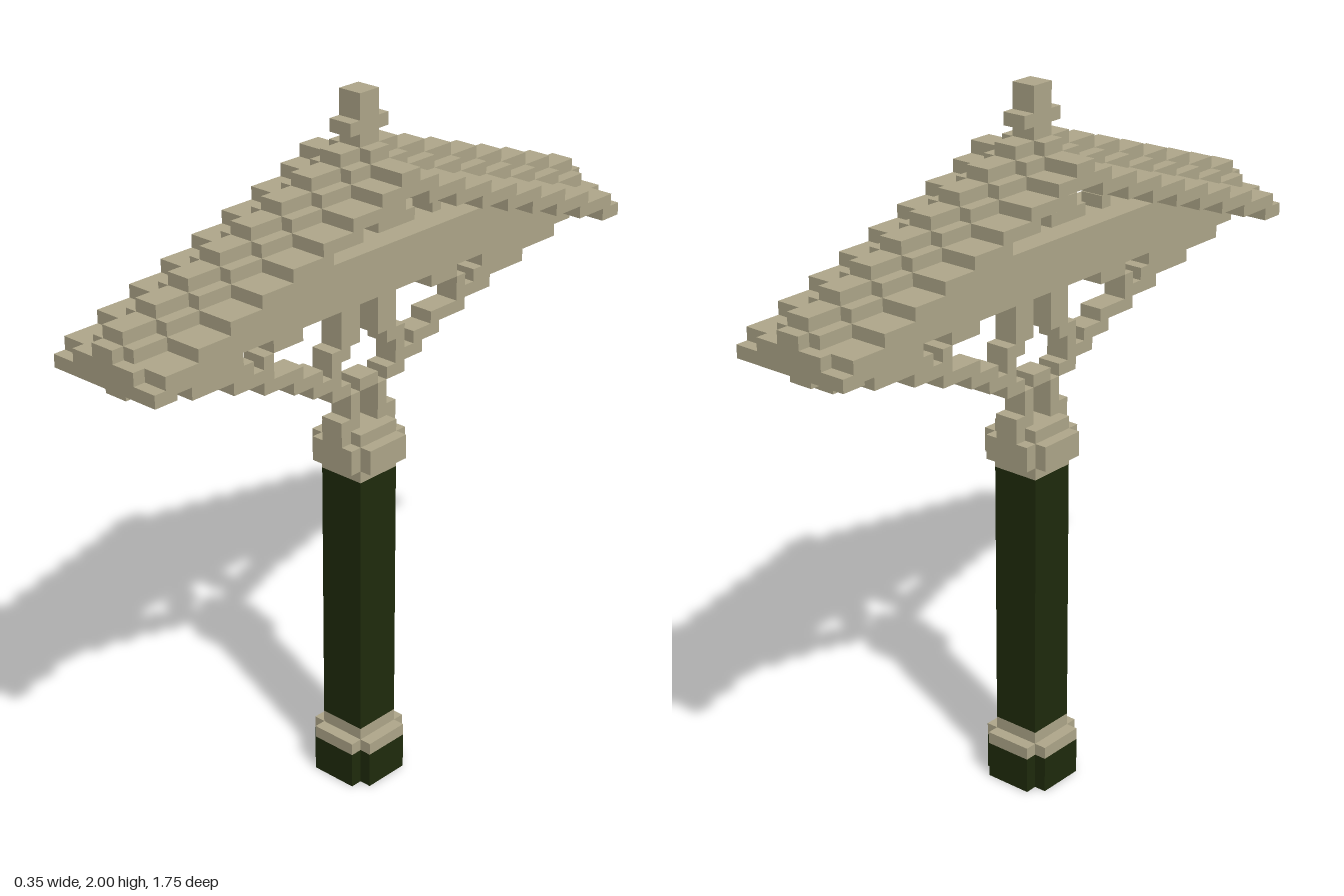
import * as THREE from 'three';

const U = 2 / 57; // one block

export function createModel() {
  const stone = new THREE.MeshStandardMaterial({ color: 0xb0a88b });
  stone.name = 'stone beige';
  const green = new THREE.MeshStandardMaterial({ color: 0x1f2b0c });
  green.name = 'dark green';
  const model = new THREE.Group();
  model.name = 'roofedPost';

  const part = (name) => {
    const g = new THREE.Group();
    g.name = name;
    model.add(g);
    return g;
  };
  // block given by its limits in block units
  const block = (g, x0, x1, y0, y1, z0, z1, mat = stone) => {
    const m = new THREE.Mesh(new THREE.BoxGeometry((x1 - x0) * U, (y1 - y0) * U, (z1 - z0) * U), mat);
    m.position.set((x0 + x1) / 2 * U, (y0 + y1) / 2 * U, (z0 + z1) / 2 * U);
    m.name = g.name + 'Block';
    g.add(m);
  };
  const centred = (g, w, y0, y1, d, mat) => block(g, -w, w, y0, y1, -d, d, mat);
  // the same block on the front and back halves
  const pair = (g, w, y0, y1, z0, z1) => {
    block(g, -w, w, y0, y1, z0, z1);
    block(g, -w, w, y0, y1, -z1, -z0);
  };
  // square with its four corners notched
  const notched = (g, y0, y1, mat) => {
    centred(g, 2, y0, y1, 3, mat);
    for (const s of [-1, 1]) block(g, s > 0 ? 2 : -3, s > 0 ? 3 : -2, y0, y1, -2, 2, mat);
  };

  // post
  const base = part('base');
  notched(base, 0, 3, green);
  notched(base, 3, 4, stone);
  centred(base, 2, 4, 5, 2);
  centred(part('column'), 2, 5, 27, 2, green);
  const capital = part('capital');
  centred(capital, 2, 27, 28, 2);
  notched(capital, 28, 30, stone);
  centred(capital, 2, 30, 31, 2);
  pair(capital, 1, 30, 31, 2, 3);

  // scrolled bracket below the beam: [row, inner, outer]
  const bracket = part('bracket');
  const lower = [
    [31, 1, 3], [32, 1, 2], [33, 1, 2], [34, 2, 4], [35, 3, 6], [36, 3, 4], [36, 5, 8],
    [37, 2, 4], [37, 7, 11], [38, 1, 3], [38, 10, 14], [39, 1, 3], [39, 10, 11],
    [39, 12, 18], [40, 1, 3], [40, 7, 10], [40, 13, 22],
  ];
  for (const [r, a, b] of lower) pair(bracket, 1, r, r + 1, a, b);
  centred(bracket, 1, 34, 35, 1);

  // stepped longitudinal beam
  const beam = part('beam');
  centred(beam, 1, 41, 42, 24);
  centred(beam, 2, 42, 44, 24);
  centred(beam, 3, 44, 46, 18);

  // open tracery between beam and roof
  const tracery = part('tracery');
  for (const [r, a, b] of [[46, 1, 5], [46, 7, 8], [47, 2, 4], [48, 1, 3], [49, 1, 2]])
    pair(tracery, 1, r, r + 1, a, b);

  // roof: one stepped slope, stacked in three layers that narrow to the ridge
  const layers = [['roof', 5, 51], ['ridgeBase', 2, 52], ['ridge', 1, 53]];
  for (const [name, halfWidth, top] of layers) {
    const g = part(name);
    centred(g, halfWidth, top, top + 1, 1);
    for (let i = 1; i <= 8; i++)
      pair(g, halfWidth, top - i, top - i + 1, i > 1 ? 3 * i - 4 : 0, 3 * i);
  }

  // thin lip at each end, stepped up to the middle
  const eaves = part('eaves');
  pair(eaves, 5, 42, 43, 23, 25);
  pair(eaves, 3, 43, 44, 23, 25);
  pair(eaves, 1, 44, 45, 23, 25);

  // finial
  const finial = part('finial');
  centred(finial, 1, 54, 57, 1);
  pair(finial, 1, 54, 55, 1, 2);

  return model;
}
